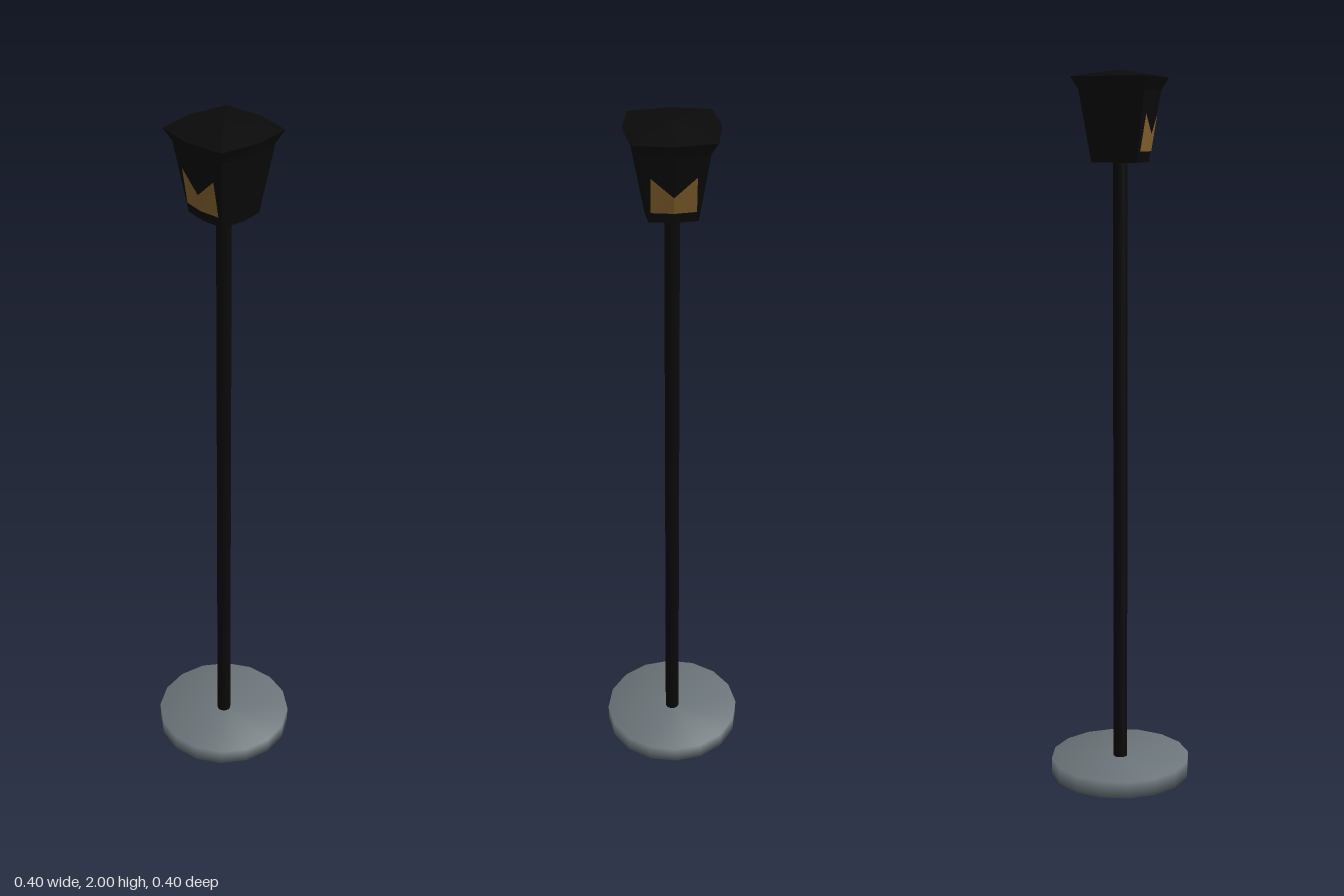
import * as THREE from 'three';
import { mergeVertices } from 'three/addons/utils/BufferGeometryUtils.js';

// Head rings: height, distance to face middle, half-width at corners
const RINGS = [
  [1.755, 0.071, 0.063],
  [1.945, 0.105, 0.09],
  [1.98, 0.124, 0.107],
];

function facetedGeometry(points, index) {
  const indexed = new THREE.BufferGeometry();
  indexed.setAttribute('position', new THREE.Float32BufferAttribute(points.flat(), 3));
  indexed.setIndex(index);
  const geometry = indexed.toNonIndexed();
  geometry.computeVertexNormals();
  return geometry;
}

// Eight-sided flared head with a shallow peak on top
function headGeometry() {
  const points = [], index = [];
  for (const [y, mid, corner] of RINGS) {
    for (let i = 0; i < 8; i++) {
      const a = i * Math.PI / 4;
      const r = i % 2 ? corner * Math.SQRT2 : mid;
      points.push([Math.sin(a) * r, y, Math.cos(a) * r]);
    }
  }
  const bottom = points.push([0, RINGS[0][0], 0]) - 1;
  const peak = points.push([0, 2, 0]) - 1;
  const last = (RINGS.length - 1) * 8;
  for (let i = 0; i < 8; i++) {
    const j = (i + 1) % 8;
    for (let k = 0; k < last; k += 8) {
      index.push(k + i, k + j, k + 8 + j, k + i, k + 8 + j, k + 8 + i);
    }
    index.push(bottom, j, i, last + i, last + j, peak);
  }
  return facetedGeometry(points, index);
}

// Depth of the head's front surface at a given x and y
function surfaceZ(x, y) {
  const [[y0, m0, c0], [y1, m1, c1]] = RINGS;
  const t = (y - y0) / (y1 - y0);
  const mid = m0 + (m1 - m0) * t, corner = c0 + (c1 - c0) * t;
  return mid + (corner - mid) * Math.abs(x) / corner;
}

// Notched trim, folded along the middle to follow the head
function trimGeometry() {
  const outline = [[-0.058, 1.784], [0, 1.784], [0.058, 1.784], [0.058, 1.884], [0, 1.83], [-0.058, 1.884]];
  const points = outline.map(([x, y]) => [x, y, surfaceZ(x, y) + 0.003]);
  return facetedGeometry(points, [0, 1, 4, 0, 4, 5, 1, 2, 3, 1, 3, 4]);
}

export function createModel() {
  const black = new THREE.MeshStandardMaterial({ color: 0x0a0a0a });
  black.name = 'black';
  const grey = new THREE.MeshStandardMaterial({ color: 0x6c757a });
  grey.name = 'grey';
  const gold = new THREE.MeshStandardMaterial({ color: 0x86622f });
  gold.name = 'gold';

  const group = new THREE.Group();
  group.name = 'postLamp';
  const add = (name, geometry, material) => {
    const mesh = new THREE.Mesh(geometry, material);
    mesh.name = name;
    group.add(mesh);
    return mesh;
  };

  // Round foot with softly shaded edges
  let foot = new THREE.CylinderGeometry(0.2, 0.2, 0.048, 16);
  foot.deleteAttribute('normal');
  foot.deleteAttribute('uv');
  foot = mergeVertices(foot);
  foot.computeVertexNormals();
  add('base', foot, grey).position.y = 0.024;

  // Slim pole from foot to head
  add('pole', new THREE.CylinderGeometry(0.02, 0.02, 1.72, 16), black).position.y = 0.9;

  add('head', headGeometry(), black);

  // Trim on the front and back of the head
  const trim = trimGeometry();
  add('frontTrim', trim, gold);
  add('backTrim', trim, gold).rotation.y = Math.PI;

  return group;
}
